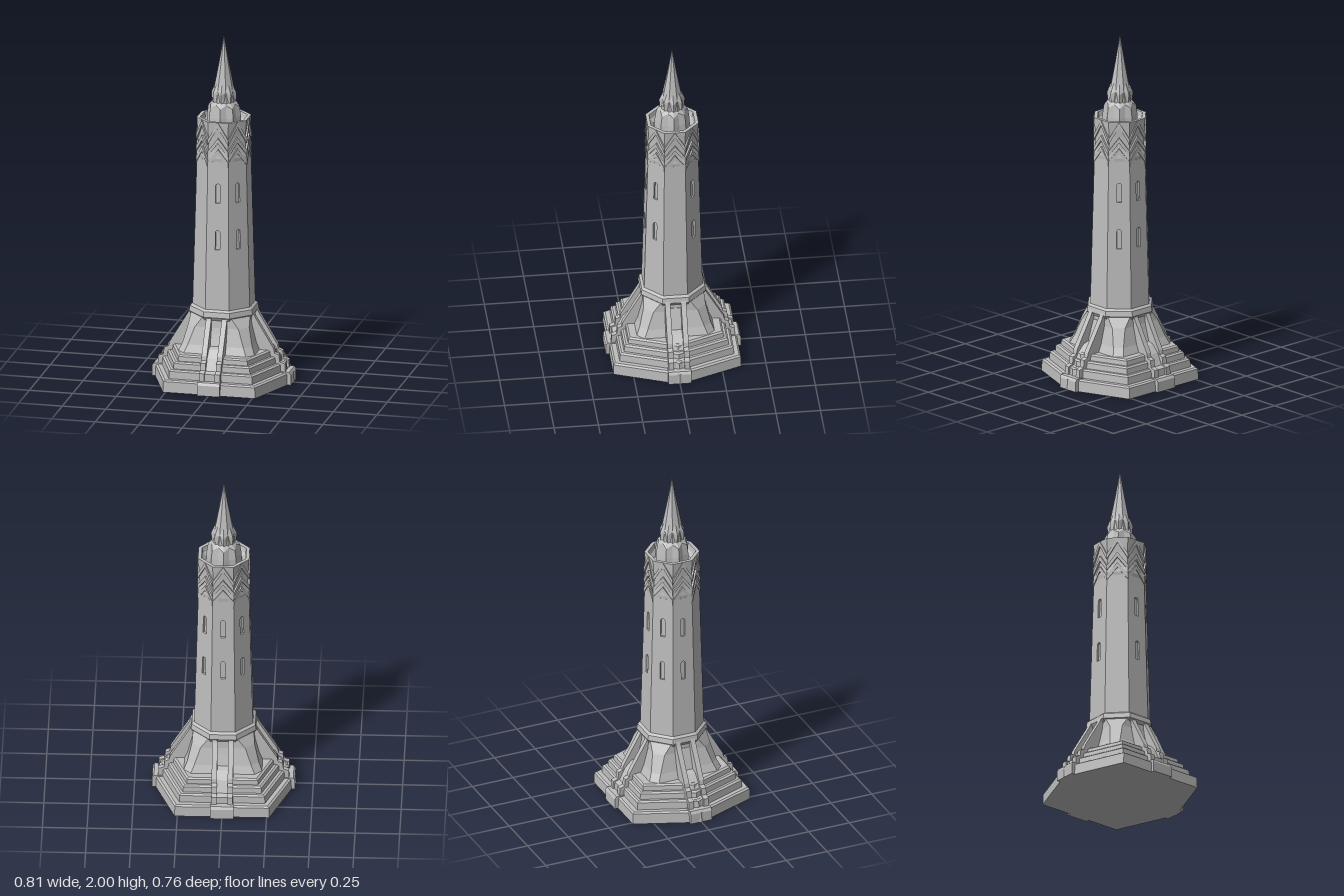
import * as THREE from 'three';

const stone = new THREE.MeshStandardMaterial({ color: 0xbebebe, flatShading: true });
stone.name = 'grey stone';
const T8 = Math.tan(Math.PI / 8);

// Skin stacked rings of [x, y, z] points, capped at both ends
function loft(rings) {
  const pos = [], n = rings[0].length;
  const tri = (a, b, c) => pos.push(...a, ...b, ...c);
  for (let k = 0; k < rings.length - 1; k++) {
    const lo = rings[k], up = rings[k + 1];
    for (let i = 0; i < n; i++) {
      const j = (i + 1) % n;
      tri(lo[i], up[i], up[j]);
      tri(lo[i], up[j], lo[j]);
    }
  }
  const first = rings[0], last = rings[rings.length - 1];
  for (let i = 1; i < n - 1; i++) {
    tri(first[0], first[i], first[i + 1]);
    tri(last[0], last[i + 1], last[i]);
  }
  const g = new THREE.BufferGeometry();
  g.setAttribute('position', new THREE.Float32BufferAttribute(pos, 3));
  g.computeVertexNormals();
  return g;
}

// Octagon with flat sides on the axes, given its apothem
function octagon(y, a) {
  return Array.from({ length: 8 }, (_, i) => {
    const t = (i + 0.5) * Math.PI / 4, r = a / Math.cos(Math.PI / 8);
    return [r * Math.cos(t), y, r * Math.sin(t)];
  });
}

// Eight-pointed ring; the points can sit lower than the valleys
function star(y, r, valley, rise = 0) {
  return Array.from({ length: 16 }, (_, i) => {
    const t = i * Math.PI / 8, q = i % 2 ? valley : r;
    return [q * Math.cos(t), y + (i % 2 ? rise : 0), q * Math.sin(t)];
  });
}

// Hexagon with corners on the x axis
const hexagon = (y, rx, cx, cz) => [
  [rx, y, 0], [cx, y, cz], [-cx, y, cz], [-rx, y, 0], [-cx, y, -cz], [cx, y, -cz]];

// Square with cut corners
const cutSquare = (y, s, c) => [
  [s, y, c], [c, y, s], [-c, y, s], [-s, y, c],
  [-s, y, -c], [-c, y, -s], [c, y, -s], [s, y, -c]];

function extrude(points, depth, holes = []) {
  const s = new THREE.Shape(points.map(p => new THREE.Vector2(...p)));
  s.holes = holes;
  return new THREE.ExtrudeGeometry(s, { depth, bevelEnabled: false, curveSegments: 4 });
}

function add(parent, name, geometry) {
  const m = new THREE.Mesh(geometry, stone);
  m.name = name;
  parent.add(m);
  return m;
}

// Narrow round-headed window opening
function windowHole(y) {
  const w = 0.013, p = new THREE.Path();
  p.moveTo(-w, y);
  p.lineTo(-w, y + 0.1);
  p.absarc(0, y + 0.1, w, Math.PI, 0, true);
  p.lineTo(w, y);
  p.closePath();
  return p;
}

export function createModel() {
  const model = new THREE.Group();
  model.name = 'tower';

  // Stepped hexagonal base
  [[0, 0.07, 0.405, 0.265, 0.36], [0.07, 0.12, 0.365, 0.24, 0.322],
    [0.12, 0.16, 0.335, 0.22, 0.295], [0.16, 0.195, 0.305, 0.2, 0.27]]
    .forEach(([y0, y1, rx, cx, cz], i) => add(model, 'baseStep' + (i + 1), loft([
      hexagon(y0, rx, cx, cz), hexagon(y1 - 0.008, rx - 0.003, cx - 0.002, cz - 0.002),
      hexagon(y1, rx - 0.015, cx - 0.01, cz - 0.012)])));

  // Sloping plinth and collar under the shaft
  add(model, 'plinth', loft([cutSquare(0.18, 0.225, 0.185), cutSquare(0.24, 0.2, 0.16),
    cutSquare(0.34, 0.175, 0.125), cutSquare(0.4, 0.17, 0.08)]));
  add(model, 'collar', loft([octagon(0.37, 0.165), octagon(0.4, 0.183),
    octagon(0.43, 0.178), octagon(0.445, 0.16)]));

  // Four buttresses: two side rails, a recessed middle and a foot
  const rail = [[0.1, 0], [0.37, 0], [0.365, 0.12], [0.335, 0.13], [0.33, 0.17],
    [0.305, 0.18], [0.3, 0.205], [0.195, 0.38], [0.17, 0.435], [0.1, 0.435]];
  const middle = [[0.1, 0], [0.36, 0], [0.355, 0.115], [0.325, 0.125], [0.29, 0.19],
    [0.25, 0.23], [0.215, 0.24], [0.175, 0.36], [0.1, 0.4]];
  const foot = [[0.1, 0], [0.4, 0], [0.4, 0.06], [0.39, 0.075], [0.1, 0.075]];
  for (let k = 0; k < 4; k++) {
    const b = new THREE.Group();
    b.name = 'buttress' + (k + 1);
    b.rotation.y = k * Math.PI / 2;
    b.scale.x = k % 2 ? 0.95 : 1;
    add(b, 'railA', extrude(rail, 0.03)).position.z = 0.03;
    add(b, 'railB', extrude(rail, 0.03)).position.z = -0.06;
    add(b, 'middle', extrude(middle, 0.06)).position.z = -0.03;
    add(b, 'foot', extrude(foot, 0.13)).position.z = -0.065;
    model.add(b);
  }

  // Tapering shaft: inner core with eight wall panels pierced by windows
  const y0 = 0.42, h = 0.88, a0 = 0.165, a1 = 0.142, depth = 0.015;
  add(model, 'shaftCore', loft([octagon(y0, a0 - 0.012), octagon(y0 + h, a1 - 0.012)]));
  for (let k = 0; k < 8; k++) {
    const face = new THREE.Group();
    face.name = 'face' + (k + 1);
    face.rotation.y = k * Math.PI / 4;
    const w0 = a0 * T8, w1 = a1 * T8;
    const holes = k === 2 || k === 7 ? [] : [windowHole(0.37), windowHole(0.64)];
    const wall = add(face, 'wall', extrude([[-w0, 0], [w0, 0], [w1, h], [-w1, h]], depth, holes));
    wall.position.set(0, y0, a0 - depth);
    wall.rotation.x = -Math.atan((a0 - a1) / h);

    // Pointed gable bands around the crown
    [[1.27, 0.075, 0.03], [1.33, 0.08, 0.03], [1.4, 0.1, 0.03]].forEach(([y, rise, t], i) => {
      const w = 0.144 * T8;
      const chevron = [[-w, y], [0, y + rise], [w, y], [w, y + t], [0, y + rise + t], [-w, y + t]];
      add(face, 'gable' + (i + 1), extrude(chevron, 0.012)).position.z = 0.135;
    });
    model.add(face);
  }

  // Crown with a sunken roof behind the parapet
  add(model, 'crown', loft([octagon(1.27, 0.138), octagon(1.32, 0.144), octagon(1.37, 0.137),
    octagon(1.44, 0.137), octagon(1.53, 0.143), octagon(1.53, 0.124),
    octagon(1.5, 0.118), octagon(1.48, 0.1)]));

  // Spire with two ragged skirts
  add(model, 'lowerSkirt', loft([star(1.47, 0.1, 0.088), star(1.535, 0.098, 0.084),
    star(1.59, 0.09, 0.074, 0.02), star(1.63, 0.06, 0.055)]));
  add(model, 'upperSkirt', loft([star(1.58, 0.066, 0.06), star(1.665, 0.073, 0.058, 0.02),
    star(1.72, 0.05, 0.046)]));
  add(model, 'spire', loft([octagon(1.6, 0.064), octagon(1.7, 0.052), octagon(1.76, 0.041),
    octagon(1.85, 0.025), octagon(1.93, 0.012), octagon(2, 0.0005)]));

  return model;
}
